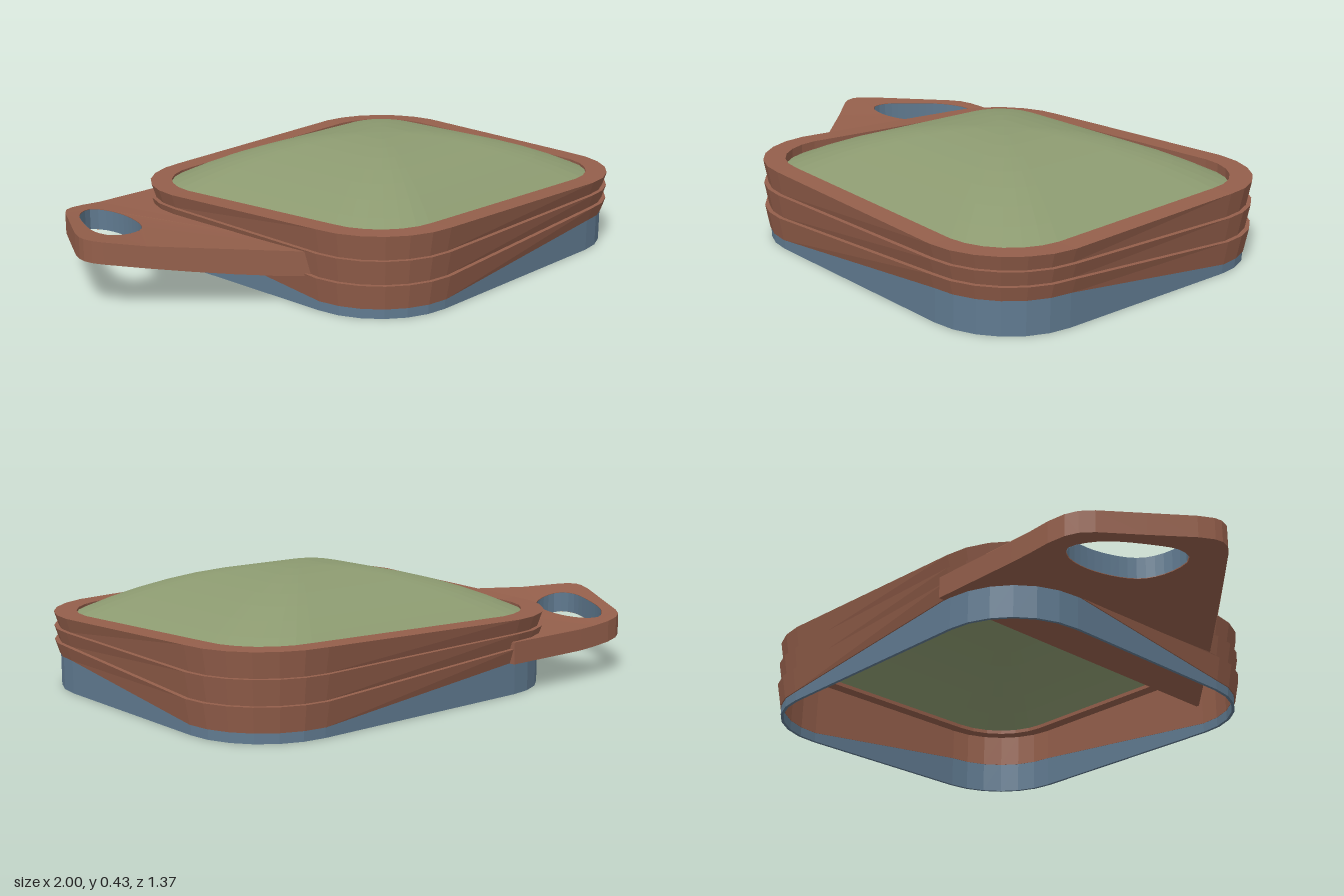
import * as THREE from 'three';

const CX = 0.25, HX = 0.75, HZ = 0.68, R = 0.32;
const material = (color) => new THREE.MeshStandardMaterial({ color, flatShading: true, side: THREE.DoubleSide });
const clamp = (v) => THREE.MathUtils.clamp(v, -1, 1);

// Rounded rectangle in the ground plane, pulled in by an inset
function outline(inset, segments = 6) {
  const points = [];
  const r = R - inset;
  const corners = [[1, 1], [-1, 1], [-1, -1], [1, -1]];
  corners.forEach(([sx, sz], k) => {
    for (let i = 0; i <= segments; i++) {
      const a = (k + i / segments) * Math.PI / 2;
      points.push([CX + sx * (HX - R) + r * Math.cos(a), sz * (HZ - R) + r * Math.sin(a)]);
    }
  });
  return points;
}

// Saddle wave: +1 and -1 at alternating corners
const wave = (x, z) => clamp((x - CX) / (HX - R)) * clamp(z / (HZ - R));
const bandBottom = (x, z) => 0.077 + 0.042 * wave(x, z);
const bandTop = (x, z) => 0.281 - 0.012 * wave(x, z);

// Skin over closed loops of [x, y, z] points
function loft(rows) {
  const n = rows[0].length;
  const index = [];
  for (let j = 0; j < rows.length - 1; j++) {
    for (let i = 0; i < n; i++) {
      const k = (i + 1) % n;
      const a = j * n + i, b = a + n, c = j * n + k, d = c + n;
      index.push(a, b, c, c, b, d);
    }
  }
  const geometry = new THREE.BufferGeometry();
  geometry.setAttribute('position', new THREE.Float32BufferAttribute(rows.flat(2), 3));
  geometry.setIndex(index);
  geometry.computeVertexNormals();
  return geometry;
}

const ring = (inset, height) => outline(inset).map(([x, z]) => [x, height(x, z), z]);

function part(name, geometry, mat) {
  const mesh = new THREE.Mesh(geometry, mat);
  mesh.name = name;
  return mesh;
}

// Handle plate curls upward towards its tip
const lift = (x) => 0.115 + 0.055 * Math.pow(Math.max(0, (-0.5 - x) / 0.5), 1.5);
const PLATE = 0.078;

function handleGeometry(hole) {
  const corners = [
    [-0.15, -0.685], [-0.5, -0.685], [-0.66, -0.68], [-0.72, -0.667], [-0.76, -0.645], [-0.795, -0.605],
    [-0.97, -0.32], [-0.995, -0.265], [-1, -0.235], [-0.992, -0.2], [-0.97, -0.17], [-0.15, 0.66],
  ];
  const points = [];
  corners.forEach(([x, z], i) => {
    const [x2, z2] = corners[(i + 1) % corners.length];
    const steps = Math.max(1, Math.round(Math.abs(x2 - x) / 0.1));
    for (let s = 0; s < steps; s++) {
      const t = s / steps;
      points.push(new THREE.Vector2(x + (x2 - x) * t, -(z + (z2 - z) * t)));
    }
  });
  const shape = new THREE.Shape(points);
  shape.holes.push(new THREE.Path(hole.map(([x, z]) => new THREE.Vector2(x, -z))));
  const geometry = new THREE.ExtrudeGeometry(shape, { depth: PLATE, bevelEnabled: false });
  geometry.rotateX(-Math.PI / 2);
  const p = geometry.attributes.position;
  for (let i = 0; i < p.count; i++) p.setY(i, p.getY(i) + lift(p.getX(i)));
  geometry.computeVertexNormals();
  return geometry;
}

export function createModel() {
  const group = new THREE.Group();
  const brown = material(0x945f4b);
  const blue = material(0x607a90);
  const green = material(0x8c9a70);

  // Thin base wall with a wavy upper edge
  const wavyEdge = (x, z) => bandBottom(x, z) + 0.006;
  const flat = (y) => () => y;
  group.add(part('baseWall', loft([
    ring(0.02, flat(0)), ring(0.02, wavyEdge), ring(0.031, wavyEdge), ring(0.031, flat(0)), ring(0.02, flat(0)),
  ]), blue));

  // Three flared layers, closed by a flat rim and a hollow inside
  const level = (t) => (x, z) => THREE.MathUtils.lerp(bandBottom(x, z), bandTop(x, z), t);
  const rows = [];
  for (let k = 0; k < 3; k++) rows.push(ring(0.016, level(k / 3)), ring(0, level((k + 1) / 3)));
  rows.push(ring(0.08, bandTop), ring(0.08, flat(0.245)), ring(0.032, flat(0.245)), ring(0.032, level(0)), rows[0]);
  group.add(part('layeredBand', loft(rows), brown));

  // Pillow-shaped dome
  const RINGS = 8;
  const edge = outline(0.08);
  const dome = [];
  for (let j = 0; j <= RINGS; j++) {
    const t = 1 - j / RINGS;
    dome.push(edge.map(([x, z]) => [CX + (x - CX) * t, 0.43 - 0.17 * t * t, z * t]));
  }
  group.add(part('dome', loft(dome), green));

  // Side handle with a lined finger hole
  const holeCurve = new THREE.CatmullRomCurve3([
    [-0.68, -0.612], [-0.643, -0.575], [-0.635, -0.45], [-0.7, -0.29], [-0.8, -0.24],
    [-0.875, -0.25], [-0.89, -0.31], [-0.85, -0.42], [-0.765, -0.56],
  ].map(([x, z]) => new THREE.Vector3(x, 0, z)), true);
  const hole = holeCurve.getSpacedPoints(32).slice(0, 32).map((p) => [p.x, p.z]);
  group.add(part('handle', handleGeometry(hole), brown));

  const HOLE_X = -0.76, HOLE_Z = -0.42;
  const liner = [PLATE - 0.001, 0.001].map((dy) => hole.map(([x, z]) => {
    const px = HOLE_X + (x - HOLE_X) * 0.985;
    return [px, lift(x) + dy, HOLE_Z + (z - HOLE_Z) * 0.985];
  }));
  group.add(part('handleHoleLiner', loft(liner), blue));

  return group;
}
